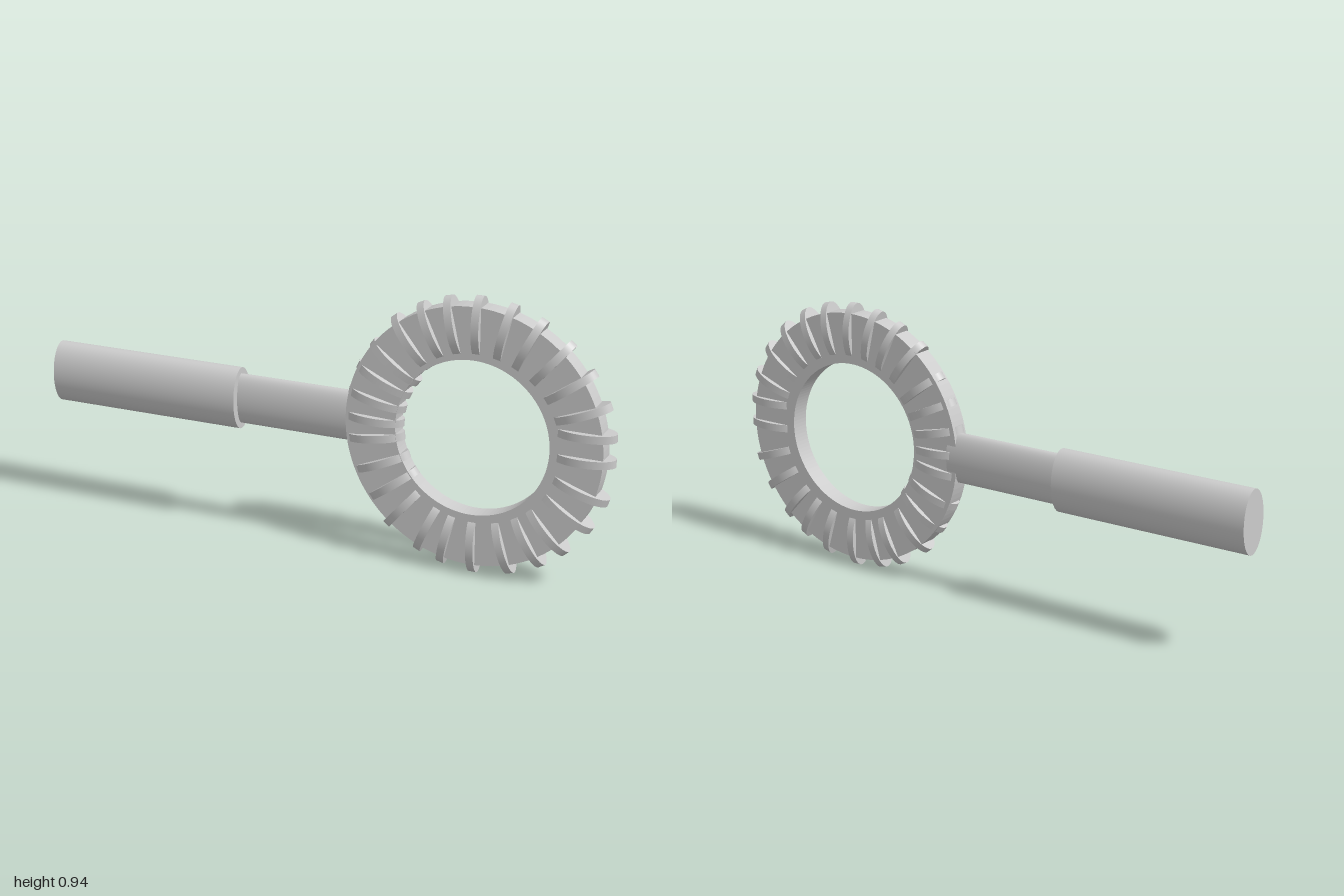
import * as THREE from 'three';

const material = new THREE.MeshStandardMaterial({ color: 0xcccccc });

// Elliptical bar lying along x
function bar(name, x0, x1, halfY, halfZ, z) {
  const geo = new THREE.CylinderGeometry(1, 1, x1 - x0, 64);
  geo.rotateZ(Math.PI / 2);
  geo.scale(1, halfY, halfZ);
  const mesh = new THREE.Mesh(geo, material);
  mesh.name = name;
  mesh.position.set((x0 + x1) / 2, 0.477, z);
  return mesh;
}

export function createModel() {
  const model = new THREE.Group();
  model.name = 'ringWithHandle';

  // Grip and thinner neck
  model.add(bar('grip', -1, -0.305, 0.107, 0.063, -0.002));
  model.add(bar('neck', -0.32, 0.13, 0.087, 0.034, -0.001));

  // Flat ring with square edges
  const depth = 0.064;
  const profile = [
    [0.262, -depth / 2], [0.437, -depth / 2], [0.437, depth / 2], [0.262, depth / 2],
  ];
  const ring = new THREE.Group();
  ring.name = 'ring';
  const shape = new THREE.Shape().absarc(0, 0, profile[1][0], 0, Math.PI * 2, false);
  shape.holes.push(new THREE.Path().absarc(0, 0, profile[0][0], 0, Math.PI * 2, true));
  const ringGeo = new THREE.ExtrudeGeometry(shape, { depth, bevelEnabled: false, curveSegments: 64 });
  ringGeo.translate(0, 0, -depth / 2);
  const ringBody = new THREE.Mesh(ringGeo, material);
  ringBody.name = 'ringBody';
  ring.add(ringBody);
  ring.position.set(0.529, 0.475, 0.002);
  model.add(ring);

  // Elliptical ribs across the ring, slightly unevenly spaced
  const ribGeo = new THREE.CylinderGeometry(1, 1, 0.026, 48);
  ribGeo.scale(0.102, 1, 0.051);
  const ribs = new THREE.Group();
  ribs.name = 'ribs';
  ribs.position.set(0.538, 0.473, 0.004);
  const addRib = (degrees, shift = 0, radius = 0.366) => {
    const a = THREE.MathUtils.degToRad(degrees);
    const rib = new THREE.Mesh(ribGeo, material);
    rib.name = 'rib';
    rib.position.set(
      radius * Math.cos(a) - shift * Math.sin(a),
      radius * Math.sin(a) + shift * Math.cos(a), 0);
    rib.rotation.z = a;
    ribs.add(rib);
  };
  const angles = [
    21, 35, 49, 63, 76, 90, 103, 115, 128, 143, 155, 167, 178,
    -172, -157.5, -144, -131, -115, -104, -90, -74, -60, -48, -33, -19,
  ];
  angles.forEach((d) => addRib(d, 0, Math.abs(d) > 140 ? 0.354 : 0.368));

  // Parallel pair opposite the handle
  addRib(0, 0.066, 0.36);
  addRib(0, -0.018, 0.36);
  model.add(ribs);

  return model;
}
